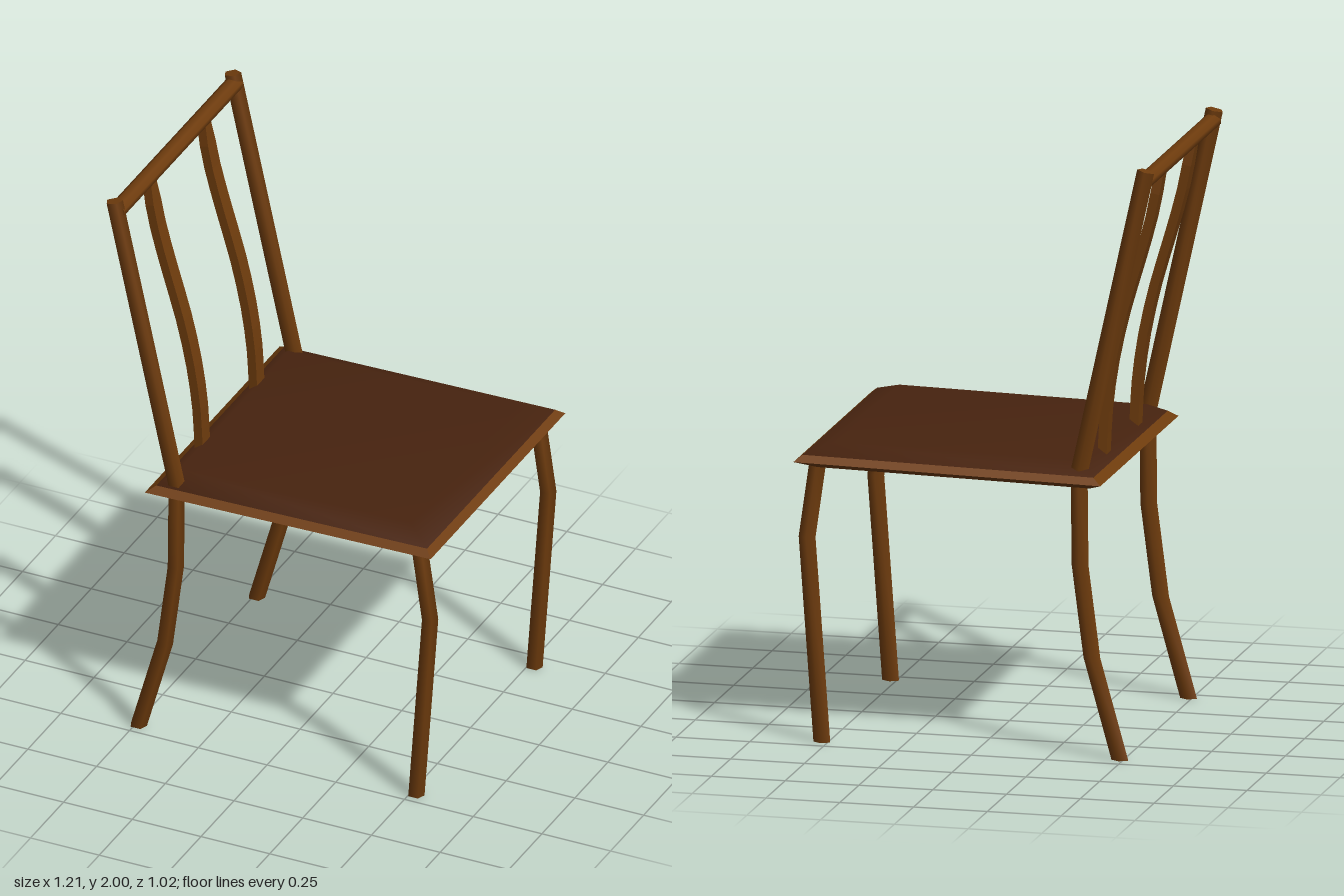
import * as THREE from 'three';

const wood = new THREE.MeshStandardMaterial({ color: 0x6f3c0d });
wood.name = 'warm brown wood';
const dark = new THREE.MeshStandardMaterial({ color: 0x47230f });
dark.name = 'dark brown cushion';

// Skins a stack of rings (each an array of [x, y, z], listed bottom to top).
function loft(rings, { flat = false, bottom = true, top = true, hardCaps = true } = {}) {
  const n = rings[0].length;
  const pos = rings.flat(2);
  const index = [];
  for (let i = 0; i < rings.length - 1; i++) {
    for (let j = 0; j < n; j++) {
      const a = i * n + j, b = i * n + (j + 1) % n;
      index.push(a, a + n, b + n, a, b + n, b);
    }
  }
  const cap = (ring, up) => {
    let s = ring * n;
    if (hardCaps) {
      s = pos.length / 3;
      pos.push(...rings[ring].flat());
    }
    for (let j = 1; j < n - 1; j++) {
      if (up) index.push(s, s + j + 1, s + j);
      else index.push(s, s + j, s + j + 1);
    }
  };
  if (bottom) cap(0, false);
  if (top) cap(rings.length - 1, true);
  let g = new THREE.BufferGeometry();
  g.setAttribute('position', new THREE.Float32BufferAttribute(pos, 3));
  g.setIndex(index);
  if (flat) g = g.toNonIndexed();
  g.computeVertexNormals();
  return g;
}

// Five-sided section, one corner towards -z; slope tips it along x.
function pentagon(x, y, z, slope = 0) {
  return Array.from({ length: 5 }, (_, i) => {
    const a = -Math.PI / 2 + i * Math.PI * 2 / 5;
    const dx = 0.03 * Math.cos(a);
    return [x + dx, y + slope * dx, z + 0.0245 * Math.sin(a)];
  });
}

// Rectangular section; the seat rises gently towards its front edge.
function rectangle(x0, x1, z0, z1, y, slope) {
  const mid = (x0 + x1) / 2;
  return [[x1, z0], [x1, z1], [x0, z1], [x0, z0]]
    .map(([x, z]) => [x, y + slope * (x - mid), z]);
}

export function createModel() {
  const chair = new THREE.Group();
  chair.name = 'chair';
  const add = (name, geometry, material) => {
    const mesh = new THREE.Mesh(geometry, material);
    mesh.name = name;
    chair.add(mesh);
    return mesh;
  };

  // Seat frame with bevelled rim, and the low cushion on it
  const tilt = 0.018;
  const rim = rectangle(-0.41, 0.575, -0.485, 0.485, 0.966, tilt);
  add('seatFrame', loft([
    rectangle(-0.39, 0.53, -0.46, 0.46, 0.922, tilt),
    rectangle(-0.44, 0.6, -0.51, 0.51, 0.945, tilt),
    rim,
  ], { flat: true, top: false }), wood);
  add('seatCushion', loft([
    rim,
    rectangle(-0.36, 0.48, -0.41, 0.41, 1.001, tilt),
  ], { bottom: false, hardCaps: false }), dark);

  // Legs and back posts, on both sides
  const frontLeg = [[0.52, 0], [0.57, 0.69], [0.533, 0.95]];
  const backLeg = [[-0.49, 0], [-0.395, 0.34], [-0.355, 0.65], [-0.352, 0.95]];
  const backPost = [[-0.349, 0.95], [-0.577, 1.99]];
  for (const [side, z] of [['left', 0.4565], ['right', -0.438]]) {
    const stick = (name, path, slope) =>
      add(name, loft(path.map(([x, y]) => pentagon(x, y, z, slope))), wood);
    const label = side === 'left' ? 'Left' : 'Right';
    stick('frontLeg' + label, frontLeg, 0);
    stick('backLeg' + label, backLeg, 0);
    stick('backPost' + label, backPost, 0.22);
  }

  // Top rail between the posts
  const rail = new THREE.CylinderGeometry(1, 1, 0.9, 8);
  rail.rotateX(Math.PI / 2).rotateZ(Math.PI / 8).scale(0.031, 0.0245, 1);
  add('topRail', rail, wood).position.set(-0.569, 1.953, 0.008);

  // Two gently bowed back slats, narrowed at the top
  const curve = new THREE.CatmullRomCurve3([
    [-0.372, 0.97], [-0.38, 1.12], [-0.402, 1.28], [-0.44, 1.45], [-0.49, 1.62], [-0.534, 1.78], [-0.566, 1.945],
  ].map(([x, y]) => new THREE.Vector3(x, y, 0)));
  for (const z of [0.215, -0.197]) {
    const rings = curve.getPoints(12).map((p, i) => {
      const w = i === 12 ? 0.019 : 0.028;
      return rectangle(p.x - 0.015, p.x + 0.015, z - w, z + w, p.y, 0.2);
    });
    add('backSlat', loft(rings, { flat: true }), wood);
  }
  return chair;
}
